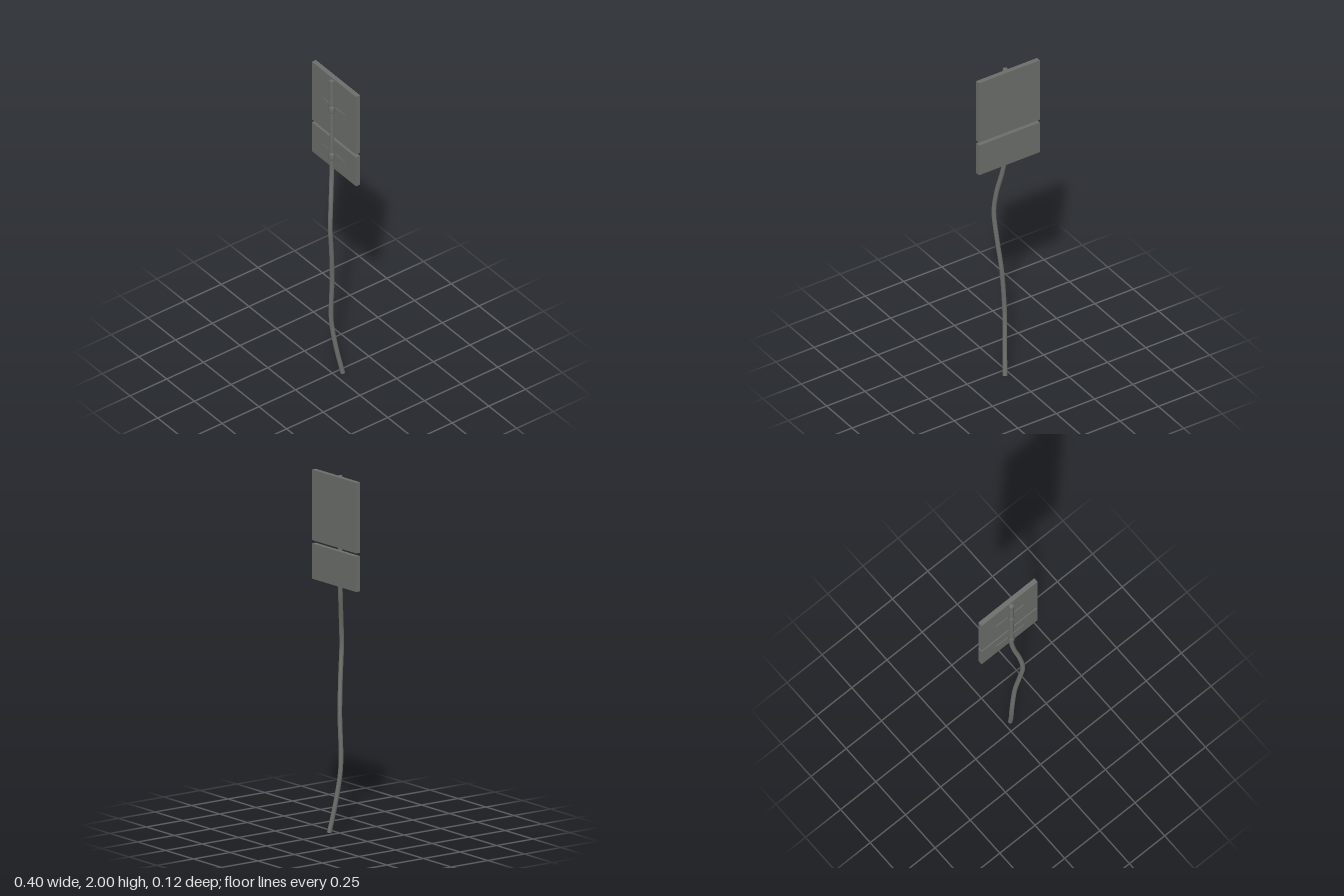
import * as THREE from 'three';

export function createModel() {
  const model = new THREE.Group();
  const mat = new THREE.MeshStandardMaterial({ color: 0x6a6d6a });
  const add = (name, geo, x = 0, y = 0, z = 0) => {
    const mesh = new THREE.Mesh(geo, mat);
    mesh.name = name;
    mesh.position.set(x, y, z);
    model.add(mesh);
    return mesh;
  };

  // Bent post: straight behind the signs, crooked below
  const r = 0.013, postZ = 0.003;
  const path = new THREE.CatmullRomCurve3([
    [0.033, 0.003, -0.046], [0.014, 0.18, -0.015], [0, 0.37, 0.007],
    [0.016, 0.66, 0.013], [0.034, 0.86, 0.031], [0.044, 1.04, 0.047],
    [0.034, 1.17, 0.036], [0.009, 1.32, 0.012], [0, 1.42, postZ],
    [0, 1.6, postZ], [0, 1.8, postZ], [0, 1.997, postZ],
  ].map((p) => new THREE.Vector3(...p)));
  add('post', new THREE.TubeGeometry(path, 90, r, 16));

  // Post end caps, facing outward along the path
  for (const [name, t, dir] of [['postBottomCap', 0, -1], ['postTopCap', 1, 1]]) {
    const cap = add(name, new THREE.CircleGeometry(r, 16));
    cap.position.copy(path.getPointAt(t));
    cap.quaternion.setFromUnitVectors(
      new THREE.Vector3(0, 0, 1), path.getTangentAt(t).multiplyScalar(dir));
  }

  // Sign panels
  const panel = (name, bottom, top) => add(name,
    new THREE.BoxGeometry(0.397, top - bottom, 0.027), 0, (bottom + top) / 2, -0.0255);
  panel('upperSignPanel', 1.606, 2);
  panel('lowerSignPanel', 1.39, 1.587);

  // Clamps: a tapered collar round the post and a flat strap against each panel
  const collarProfile = [[0.0125, -0.025], [0.0175, -0.015], [0.0175, 0.015], [0.0125, 0.025]]
    .map((p) => new THREE.Vector2(...p));
  for (const [side, y] of [['upper', 1.803], ['lower', 1.485]]) {
    add(side + 'Collar', new THREE.LatheGeometry(collarProfile, 16), 0, y, postZ);
    add(side + 'Strap', new THREE.BoxGeometry(0.2, 0.036, 0.006), 0, y - 0.003, -0.011);
  }
  return model;
}
